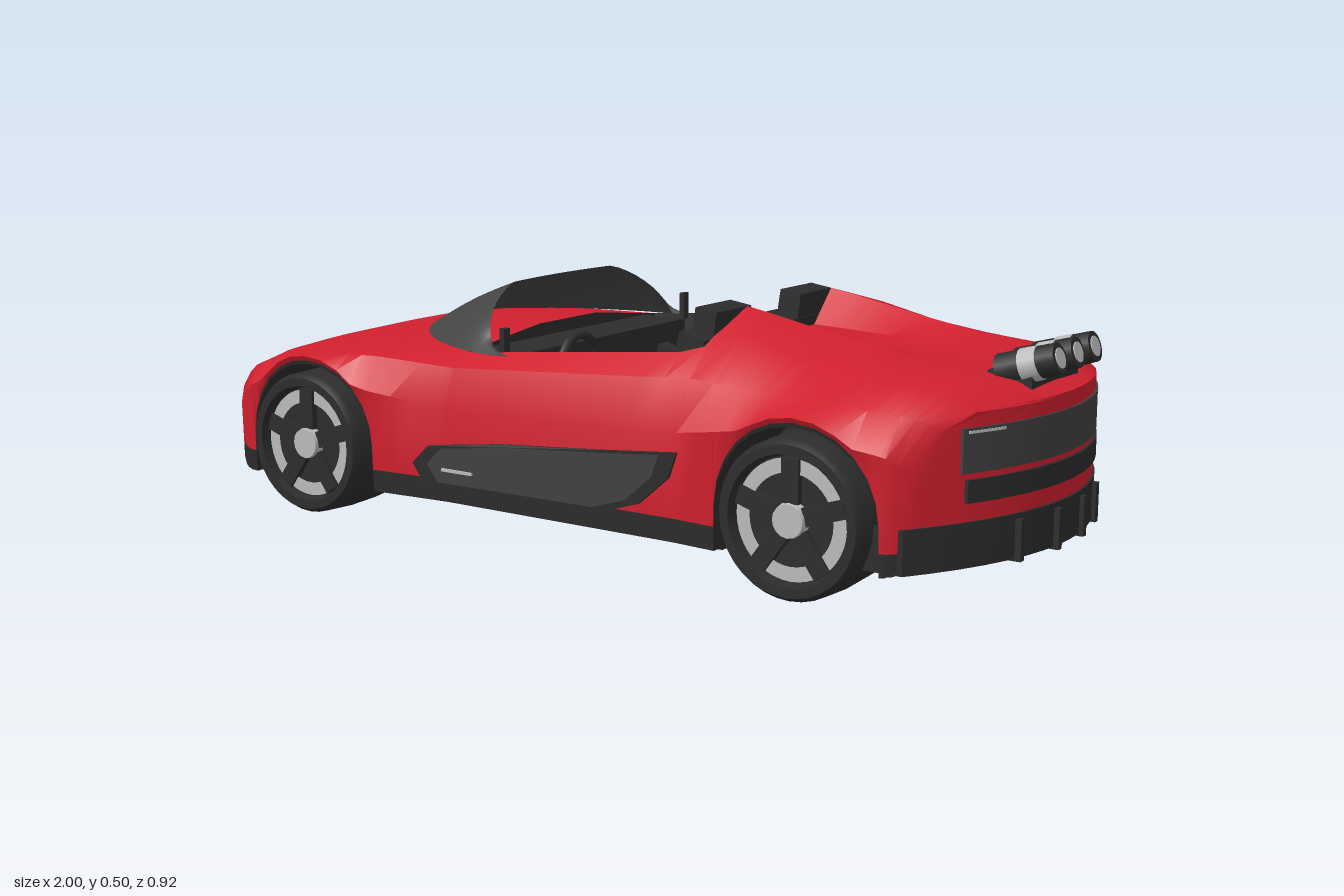
import * as THREE from 'three';
import { toCreasedNormals } from 'three/addons/utils/BufferGeometryUtils.js';

const mat = (name, color, side = THREE.FrontSide) => {
  const m = new THREE.MeshStandardMaterial({ color, side });
  m.name = name;
  return m;
};

// Body stations: x, half-width, mid y, shoulder z/y, deck z/y, hump y, centre y
const KEYS = [
  [-1, .34, .19, .33, .215, .25, .225, .227, .228],
  [-.95, .385, .21, .365, .243, .27, .255, .258, .259],
  [-.8, .435, .25, .40, .30, .29, .318, .325, .328],
  [-.565, .452, .325, .41, .355, .30, .375, .383, .386],
  [-.4, .44, .29, .40, .358, .32, .378, .39, .398],
  [-.2, .425, .27, .395, .352, .345, .378, .40, .408],
  [.365, .432, .29, .39, .386, .335, .43, .50, .43],
  [.385, .434, .29, .39, .388, .28, .475, .498, .43],
  [.6, .452, .325, .40, .372, .30, .42, .455, .42],
  [.8, .44, .30, .385, .365, .30, .402, .42, .412],
  [.92, .41, .27, .36, .352, .29, .39, .402, .40],
  [.985, .38, .25, .35, .335, .28, .365, .37, .37],
];
const WHEELS = [-.565, .635], ARCH = .172, AXLE = .16;
const COCKPIT = [-.2, .37];
const inCockpit = x => x > COCKPIT[0] + .0005 && x < COCKPIT[1] - .0005;

function key(x) {
  let i = 0;
  while (i < KEYS.length - 2 && x > KEYS[i + 1][0]) i++;
  const a = KEYS[i], b = KEYS[i + 1], t = (x - a[0]) / (b[0] - a[0]);
  return a.map((v, k) => v + (b[k] - v) * t);
}
const halfWidth = x => key(x)[1];

// Half cross-section as [z, y], from floor centre to top centre
function section(x, hollow = inCockpit(x)) {
  const [, w, yM, wS, yS, wD, yD, yG, yC] = key(x);
  const yb = .068 + .062 * Math.max(0, (-.93 - x) / .07) + .032 * Math.max(0, (x - .8) / .185);
  const cx = WHEELS.find(c => Math.abs(x - c) <= ARCH + 1e-6);
  const wl = w - .008;
  let yLow = yb + .005, zf = wl - .03;
  if (cx !== undefined) {
    yLow = AXLE + Math.sqrt(Math.max(0, ARCH ** 2 - (x - cx) ** 2));
    zf = .27;
  }
  const ySill = Math.max(yLow + .008, .12);
  const top = hollow ? [[.325, .22], [.30, .12], [0, .12]] : [[.17, yG], [.1, yC], [0, yC]];
  return [[0, yb], [zf, yb], [zf, yLow], [wl, yLow], [wl + .002, ySill],
    [w, Math.max(yM, ySill + .01)], [wS, yS], [wD, yD], ...top];
}

function deckY(x, z) {
  const s = section(x, false).slice(6);
  for (let i = 0; i < s.length - 1; i++) {
    const [z0, y0] = s[i], [z1, y1] = s[i + 1];
    if (z <= z0 && z >= z1) return y0 + (y1 - y0) * (z0 - z) / (z0 - z1);
  }
  return s[0][1];
}

// Rounds the nose and tail in plan
function bent(x, z) {
  const f = x < -.74 ? .15 * (-.74 - x) / .26 : x > .82 ? -.12 * (x - .82) / .165 : 0;
  return x + f * (z / halfWidth(x)) ** 2;
}
const noseX = z => bent(-1, z), tailX = z => bent(.985, z);

function buildBody(group, red, dark) {
  const soup = { red: [], dark: [] };
  const quad = (list, a, b, c, d) => list.push(...a, ...b, ...c, ...a, ...c, ...d);
  const xs = [COCKPIT[0], COCKPIT[0] + .001, COCKPIT[1] - .001, COCKPIT[1]];
  for (let i = 0; i <= 36; i++) {
    const x = -1 + 1.985 * i / 36;
    if (!WHEELS.some(c => Math.abs(x - c) < ARCH + .004)) xs.push(x);
  }
  for (const c of WHEELS) {
    xs.push(c - ARCH - .001, c + ARCH + .001);
    for (let k = 0; k <= 12; k++) xs.push(c + ARCH * Math.cos(Math.PI * k / 12));
  }
  xs.sort((a, b) => a - b);

  for (let j = 0; j < xs.length - 1; j++) {
    const [xa, xb] = [xs[j], xs[j + 1]], sa = section(xa), sb = section(xb);
    const tub = inCockpit(xa) || inCockpit(xb);
    for (let i = 0; i < sa.length - 1; i++) {
      const noseFloor = i === 0 && xb < -.78;
      const list = ((i < 4 && !noseFloor) || (tub && i > 6)) ? soup.dark : soup.red;
      for (const m of [1, -1]) {
        const p = (x, q) => [bent(x, q[0]), q[1], q[0] * m];
        const c = [p(xa, sa[i]), p(xb, sb[i]), p(xb, sb[i + 1]), p(xa, sa[i + 1])];
        quad(list, ...(m > 0 ? c : c.reverse()));
      }
    }
  }
  // Nose and tail faces
  for (const x of [-1, .985]) {
    const s = section(x), n = 12;
    for (let i = 0; i < s.length - 1; i++) for (let k = 0; k < n; k++) {
      const p = (q, t) => { const z = q[0] * (t / n * 2 - 1); return [bent(x, z), q[1], z]; };
      const c = [p(s[i], k), p(s[i], k + 1), p(s[i + 1], k + 1), p(s[i + 1], k)];
      quad(i < 4 ? soup.dark : soup.red, ...(x < 0 ? c : c.reverse()));
    }
  }
  for (const [name, list, m] of [['bodyShell', soup.red, red], ['floorAndTub', soup.dark, dark]]) {
    const g = new THREE.BufferGeometry();
    g.setAttribute('position', new THREE.Float32BufferAttribute(list, 3));
    const mesh = new THREE.Mesh(toCreasedNormals(g, .5), m);
    mesh.name = name;
    group.add(mesh);
  }
}

export function createModel() {
  const car = new THREE.Group();
  car.name = 'roadster';
  const red = mat('red paint', 0xcf1f2d), dark = mat('dark trim', 0x2c2c2d);
  const glass = mat('tinted glass', 0x444445, THREE.DoubleSide);
  const grey = mat('grey panel', 0x404041), silver = mat('silver', 0xb9babb);
  const add = (name, geo, m, x = 0, y = 0, z = 0, parent = car) => {
    const mesh = new THREE.Mesh(geo, m);
    mesh.name = name;
    mesh.position.set(x, y, z);
    parent.add(mesh);
    return mesh;
  };
  const box = (w, h, d) => new THREE.BoxGeometry(w, h, d);

  buildBody(car, red, dark);

  // Windscreen: swept from a curved base on the bonnet up to its top edge
  const screen = new THREE.PlaneGeometry(1, 1, 28, 6), sp = screen.attributes.position;
  for (let i = 0; i < sp.count; i++) {
    const a = sp.getX(i) * Math.PI, t = sp.getY(i) + .5;
    const c = Math.cos(a), s = Math.sin(a);
    const p = new THREE.Vector3(-.08 - .42 * c, 0, .36 * s);
    p.y = deckY(p.x, Math.abs(p.z)) + .003;
    p.lerp(new THREE.Vector3(-.14 - .08 * c, .385 + .122 * Math.min(1, 1.2 * c), .33 * s), t);
    sp.setXYZ(i, p.x, p.y + .012 * Math.sin(Math.PI * t) * c, p.z);
  }
  screen.computeVertexNormals();
  add('windscreen', screen, glass);

  // Cabin
  add('dashboard', box(.13, .14, .60), dark, -.15, .31, 0);
  add('centreTunnel', box(.46, .10, .07), dark, .1, .17, 0);
  for (const z of [.165, -.165]) {
    const seat = new THREE.Group();
    seat.name = 'seat';
    seat.position.set(0, 0, z);
    car.add(seat);
    add('seatCushion', box(.24, .08, .20), dark, .13, .18, 0, seat);
    add('seatBack', box(.06, .26, .20), dark, .27, .32, 0, seat).rotation.z = -.25;
    add('headrest', box(.05, .10, .13), dark, .305, .445, 0, seat).rotation.z = -.15;
    for (const s of [-.1, .1]) {
      add('backBolster', box(.08, .22, .03), dark, .245, .31, s, seat).rotation.z = -.25;
      add('cushionBolster', box(.22, .10, .03), dark, .13, .20, s, seat);
    }
  }
  add('steeringWheel', new THREE.TorusGeometry(.065, .01, 8, 24), dark, -.045, .34, .165).rotation.y = Math.PI / 2;
  add('steeringColumn', new THREE.CylinderGeometry(.015, .015, .09, 8), dark, -.08, .34, .165).rotation.z = Math.PI / 2;

  // Side intakes, sitting on the door skin
  const outline = [[-.28, .15], [-.24, .19], [-.05, .215], [.2, .235], [.38, .252], [.36, .2], [.29, .14], [.2, .112], [-.25, .108]];
  const intake = (m, scale, lift) => {
    const shape = new THREE.Shape(outline.map(([x, y]) =>
      new THREE.Vector2(.05 + (x - .05) * scale, .175 + (y - .175) * scale)));
    const g = new THREE.ExtrudeGeometry(shape, { depth: .008, bevelEnabled: false });
    const p = g.attributes.position;
    for (let i = 0; i < p.count; i++) p.setZ(i, p.getZ(i) - .004 + m * (halfWidth(p.getX(i)) + lift));
    g.computeVertexNormals();
    return g;
  };
  for (const m of [1, -1]) {
    add('intakeFrame', intake(m, 1, 0), dark);
    add('intakePanel', intake(m, .88, .003), grey);
    add('intakeStrip', box(.08, .006, .008), silver, -.16, .145, m * .434);
    add('mirrorPost', box(.012, .06, .02), dark, -.11, .405, m * .335);
  }

  // Plates that follow the curve of the nose or tail
  const plate = (name, m, curve, z0, z1, y0, y1, depth, dx = 0) => {
    const g = new THREE.BoxGeometry(depth, y1 - y0, z1 - z0, 1, 1, 16);
    g.translate(0, (y0 + y1) / 2, (z0 + z1) / 2);
    const p = g.attributes.position;
    for (let i = 0; i < p.count; i++) p.setX(i, p.getX(i) + curve(p.getZ(i)) + dx);
    g.computeVertexNormals();
    add(name, g, m);
  };
  plate('tailPanel', grey, tailX, -.31, .31, .255, .338, .009);
  plate('tailStrip', dark, tailX, -.30, .30, .20, .243, .012);
  plate('diffuser', dark, tailX, -.415, .415, .08, .165, .12, -.055);
  for (const z of [-.18, -.06, .06, .18]) add('diffuserFin', box(.08, .08, .015), dark, tailX(z) - .025, .115, z);
  plate('splitter', dark, noseX, -.36, .36, .07, .085, .10, .09);
  for (const m of [1, -1]) {
    const span = (a, b) => m > 0 ? [a, b] : [-b, -a];
    plate('tailLight', silver, tailX, ...span(.22, .30), .328, .333, .012);
    plate('noseVent', dark, noseX, ...span(.22, .375), .115, .183, .012);
    plate('headlight', silver, noseX, ...span(.24, .32), .237, .25, .03, .016);
  }

  // Triple exhaust
  add('exhaustBase', box(.09, .04, .22), dark, .905, .392, 0);
  for (const z of [-.085, 0, .085]) {
    const exhaust = new THREE.Group();
    exhaust.name = 'exhaust';
    exhaust.position.set(.935, .425, z);
    exhaust.rotation.z = -Math.PI / 2 + .3;
    car.add(exhaust);
    add('pipe', new THREE.CylinderGeometry(.03, .034, .12, 16), dark, 0, 0, 0, exhaust);
    add('pipeBand', new THREE.CylinderGeometry(.0325, .034, .035, 16), silver, 0, .005, 0, exhaust);
    add('pipeMouth', new THREE.CylinderGeometry(.02, .02, .004, 16), silver, 0, .06, 0, exhaust);
  }

  // Wheels
  const tyre = new THREE.LatheGeometry([[0, -.18], [.135, -.18], [.152, -.165], [.155, -.09], [.152, -.014],
    [.143, 0], [.125, 0], [.119, -.025], [0, -.03]].map(([r, h]) => new THREE.Vector2(r, h)), 36).rotateX(Math.PI / 2);
  const tyreGeo = toCreasedNormals(tyre, .6);
  const rim = new THREE.RingGeometry(.088, .116, 40);
  const hub = new THREE.CylinderGeometry(.032, .036, .02, 16).rotateX(Math.PI / 2);
  for (const x of WHEELS) for (const m of [1, -1]) {
    const wheel = new THREE.Group();
    wheel.name = x < 0 ? 'frontWheel' : 'rearWheel';
    wheel.position.set(x, AXLE, m * .462);
    if (m < 0) wheel.rotation.y = Math.PI;
    car.add(wheel);
    add('tyre', tyreGeo, dark, 0, 0, 0, wheel);
    add('rimRing', rim, silver, 0, 0, -.018, wheel);
    add('hub', hub, silver, 0, 0, -.014, wheel);
    for (let k = 0; k < 5; k++) {
      const a = Math.PI / 2 + k * Math.PI * .4;
      add('spoke', box(.085, .036, .014), dark, .074 * Math.cos(a), .074 * Math.sin(a), -.018, wheel).rotation.z = a;
    }
  }
  return car;
}
